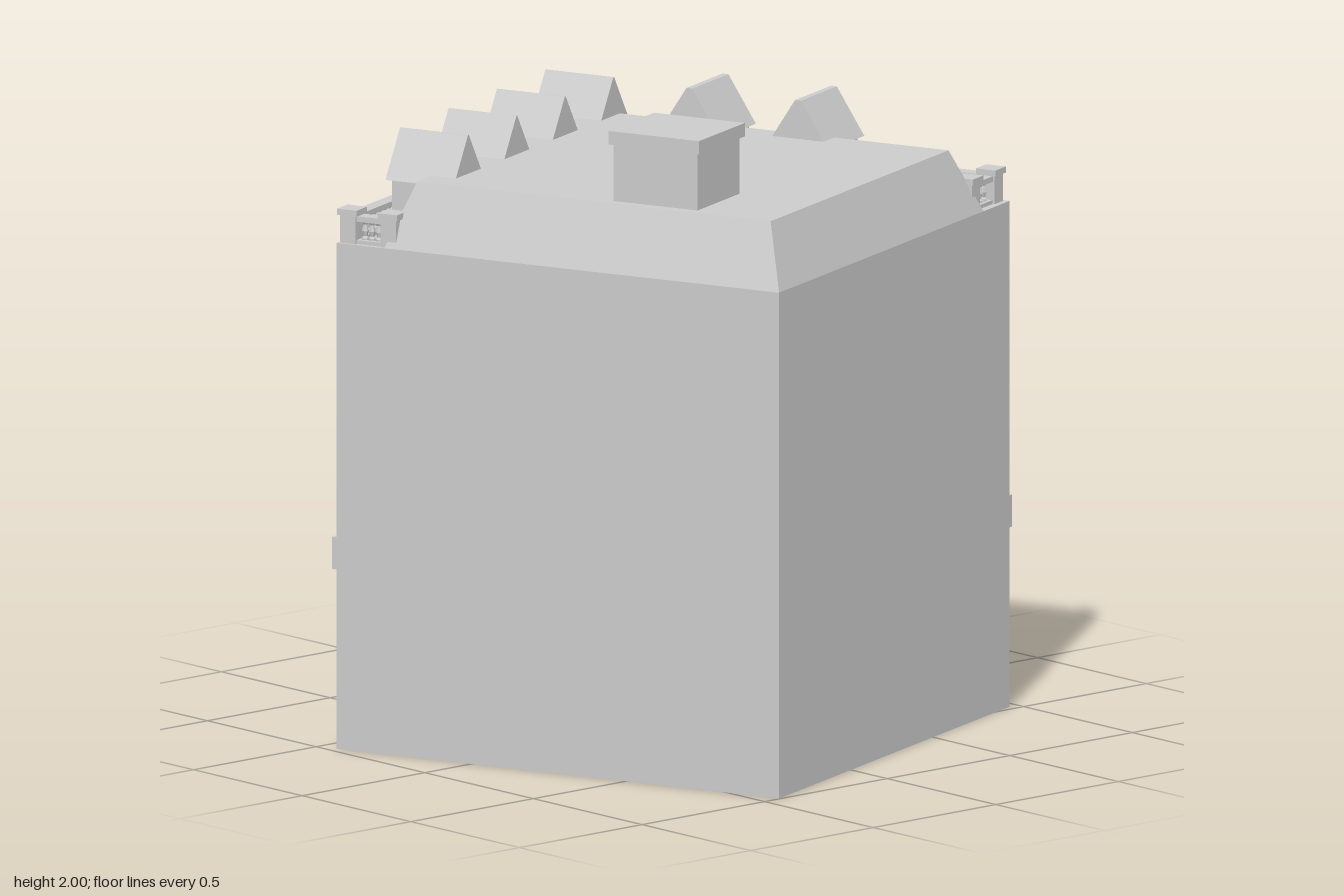
import * as THREE from 'three';

const mat = new THREE.MeshStandardMaterial({ color: 0xcccccc, flatShading: true });

function add(parent, name, geo, x = 0, y = 0, z = 0) {
  const m = new THREE.Mesh(geo, mat);
  m.name = name;
  m.position.set(x, y, z);
  parent.add(m);
  return m;
}

// box given by its lower and upper corner
function box(parent, name, x0, x1, y0, y1, z0, z1) {
  return add(parent, name, new THREE.BoxGeometry(x1 - x0, y1 - y0, z1 - z0),
    (x0 + x1) / 2, (y0 + y1) / 2, (z0 + z1) / 2);
}

const rect = (C, x0, x1, y0, y1) => new C([[x0, y0], [x1, y0], [x1, y1], [x0, y1]]
  .map(p => new THREE.Vector2(...p)));

function slab(x0, x1, y0, y1, holes, depth) {
  const s = rect(THREE.Shape, x0, x1, y0, y1);
  s.holes = holes.map(h => rect(THREE.Path, ...h));
  return new THREE.ExtrudeGeometry(s, { depth, bevelEnabled: false });
}

// sash window with glazing bars, standing in a wall opening
function sash(parent, cx, y0, y1, z, w) {
  const g = new THREE.Group();
  g.name = 'window';
  const h = y1 - y0, f = 0.012, b = 0.005;
  add(g, 'windowFrame', slab(-w / 2, w / 2, 0, h, [[-w / 2 + f, w / 2 - f, f, h - f]], 0.012));
  for (const i of [-1, 1]) box(g, 'glazingBar', i * w / 6 - b / 2, i * w / 6 + b / 2, f, h - f, 0, 0.008);
  for (let i = 1; i < 6; i++) {
    const t = i === 3 ? 0.01 : b;
    box(g, 'glazingBar', -w / 2 + f, w / 2 - f, h * i / 6 - t / 2, h * i / 6 + t / 2, 0, 0.009);
  }
  g.position.set(cx, y0, z);
  parent.add(g);
}

// decorated street wall facing +z: front plane at z = 0, core wall at z = -0.035
function facade(name, x0, x1, centers, bayW, pilasters) {
  const g = new THREE.Group();
  g.name = name;
  const w = 0.15, bays = [], wins = [];
  for (const c of centers) {
    bays.push([c - bayW / 2, c + bayW / 2, 0.66, 1.4]);
    for (const [a, b] of [[0.67, 0.91], [1.09, 1.33]]) {
      wins.push([c - w / 2, c + w / 2, a, b]);
      sash(g, c, a, b, -0.034, w);
    }
    box(g, 'windowSill', c - 0.095, c + 0.095, 1.07, 1.092, -0.02, 0.006);
    box(g, 'bayLintel', c - bayW / 2, c + bayW / 2, 1.39, 1.405, -0.02, 0.004);
  }
  add(g, 'outerWall', slab(x0, x1, 0, 1.58, bays, 0.015), 0, 0, -0.015);
  add(g, 'bayWall', slab(x0, x1, 0, 1.58, wins, 0.02), 0, 0, -0.035);
  if (pilasters) {
    const step = centers[1] - centers[0];
    for (let i = 0; i <= centers.length; i++) {
      const c = centers[0] + (i - 0.5) * step;
      box(g, 'pilaster', c - 0.028, c + 0.028, 0.66, 1.4, -0.01, 0.006);
      box(g, 'pilasterBase', c - 0.04, c + 0.04, 0.655, 0.675, -0.01, 0.012);
    }
  }
  box(g, 'beltCourse', x0, x1, 0.56, 0.66, -0.02, 0.016);
  return g;
}

// stone post with a cap
function post(parent, x, z) {
  box(parent, 'post', x - 0.027, x + 0.027, 1.58, 1.67, z - 0.027, z + 0.027);
  box(parent, 'postCap', x - 0.034, x + 0.034, 1.668, 1.687, z - 0.034, z + 0.034);
}

const balusterGeo = new THREE.LatheGeometry(
  [[0.011, 0], [0.011, 0.008], [0.006, 0.014], [0.011, 0.03], [0.006, 0.05], [0.011, 0.058], [0.011, 0.062]]
    .map(p => new THREE.Vector2(...p)), 6);

// railing between two points, with posts at even spacing
function balustrade(parent, xa, za, xb, zb, spans, perSpan) {
  const g = new THREE.Group();
  g.name = 'balustrade';
  const len = Math.hypot(xb - xa, zb - za);
  box(g, 'bottomRail', 0, len, 1.575, 1.592, -0.02, 0.02);
  box(g, 'topRail', 0, len, 1.65, 1.667, -0.022, 0.022);
  for (let i = 0; i <= spans; i++) {
    const s = len / spans;
    post(g, i * s, 0);
    if (i === spans) break;
    for (let k = 0; k < perSpan; k++) {
      add(g, 'baluster', balusterGeo, i * s + 0.035 + (s - 0.07) * (k + 0.5) / perSpan, 1.59, 0);
    }
  }
  g.position.set(xa, 0, za);
  g.rotation.y = -Math.atan2(zb - za, xb - xa);
  parent.add(g);
}

// gabled dormer facing +z, its front edge at z = 0
function dormer(parent, x, z, turn, width, ridge) {
  const g = new THREE.Group();
  g.name = 'dormer';
  const prism = (pts, depth) => new THREE.ExtrudeGeometry(
    new THREE.Shape(pts.map(p => new THREE.Vector2(...p))), { depth, bevelEnabled: false });
  const h = width / 2, b = h - 0.016;
  add(g, 'dormerRoof', prism([[-h, 1.755], [h, 1.755], [ridge, 1.9], [-ridge, 1.9]], 0.235), 0, 0, -0.235);
  add(g, 'dormerWall', slab(-b, b, 1.58, 1.757, [[-0.045, 0.045, 1.6, 1.73]], 0.02), 0, 0, -0.035);
  box(g, 'dormerBody', -b, b, 1.58, 1.757, -0.2, -0.03);
  sash(g, 0, 1.6, 1.73, -0.03, 0.09);
  g.position.set(x, 0, z);
  g.rotation.y = turn;
  parent.add(g);
}

// roof with sloped sides from a lower to an upper rectangle [x0, x1, z0, z1]
function mansard(lo, hi, y0, y1) {
  const geo = new THREE.BoxGeometry(1, 1, 1);
  const p = geo.attributes.position;
  for (let i = 0; i < p.count; i++) {
    const up = p.getY(i) > 0, r = up ? hi : lo;
    p.setXYZ(i, p.getX(i) < 0 ? r[0] : r[1], up ? y1 : y0, p.getZ(i) < 0 ? r[2] : r[3]);
  }
  geo.computeVertexNormals();
  return geo;
}

export function createModel() {
  const root = new THREE.Group();
  root.name = 'cornerTownhouse';
  const b = new THREE.Group();
  b.name = 'building';
  b.rotation.y = 0.357;
  b.position.set(0.0175, 0, 0.0025);
  root.add(b);

  // plain core, blank on the two party-wall sides
  box(b, 'coreWalls', -0.73, 0.765, 0, 1.58, -0.715, 0.75);

  // two street walls
  const west = facade('sideFacade', -0.715, 0.75, [-0.49, -0.175, 0.14, 0.455], 0.23, true);
  west.position.x = -0.765;
  west.rotation.y = -Math.PI / 2;
  const north = facade('rearFacade', -0.765, 0.765, [-0.44, -0.127, 0.186, 0.5], 0.27, false);
  north.position.z = -0.75;
  north.rotation.y = Math.PI;
  b.add(west, north);
  box(b, 'beltCorner', -0.781, -0.75, 0.56, 0.66, -0.766, -0.71);
  box(b, 'cornerBracket', -0.795, -0.745, 1.5, 1.535, -0.775, -0.725);

  // roof
  add(b, 'mansardRoof', mansard([-0.6, 0.765, -0.58, 0.75], [-0.53, 0.692, -0.49, 0.667], 1.58, 1.78));
  for (let i = 0; i < 4; i++) dormer(b, -0.68, -0.451 + i * 0.315, -Math.PI / 2, 0.195, 0.003);
  for (const x of [-0.167, 0.208]) dormer(b, x, -0.655, Math.PI, 0.21, 0.01);

  // chimney block
  box(b, 'chimney', 0.132, 0.422, 1.77, 1.96, 0.361, 0.635);
  box(b, 'chimneyCap', 0.12, 0.434, 1.958, 2, 0.349, 0.647);

  // parapet railings with short returns at both ends
  balustrade(b, -0.73, -0.712, 0.72, -0.712, 4, 9);
  balustrade(b, -0.73, -0.712, -0.73, 0.715, 4, 9);
  balustrade(b, -0.73, 0.715, -0.59, 0.715, 1, 3);
  balustrade(b, 0.72, -0.712, 0.72, -0.565, 1, 3);
  return root;
}
